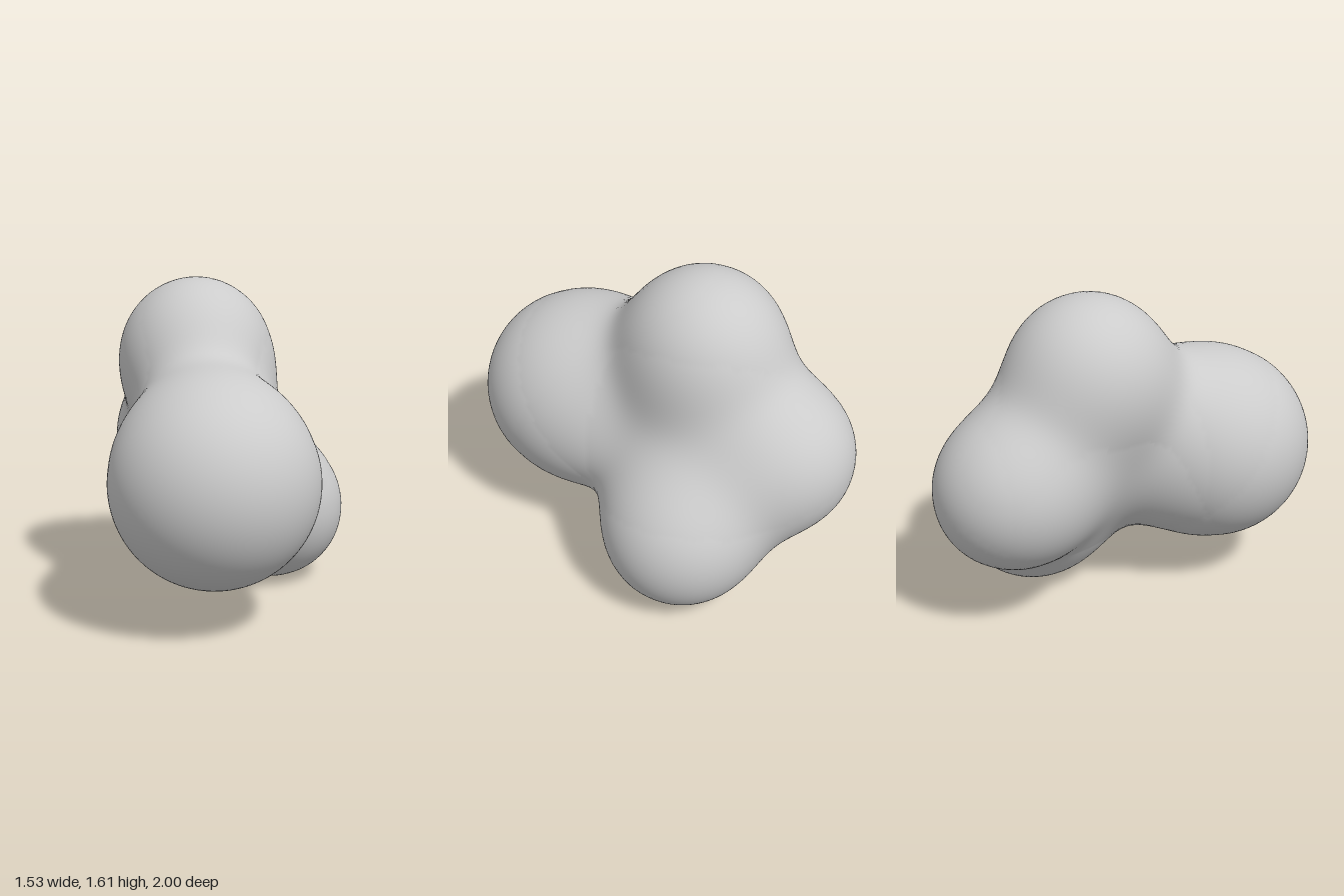
import * as THREE from 'three';

// Four balls that melt together: centre x, y, z and radius
const BALLS = [
  [-0.265, 0.712, 0.5, 0.5],       // large front ball
  [-0.038, 1.253, -0.217, 0.353],  // top ball
  [0.398, 0.373, -0.19, 0.357],    // low side ball
  [0.08, 0.715, -0.64, 0.353],     // back ball
];
const CUTOFF = 0.15; // each ball's pull fades to nothing at about 2.8 radii

// Roughly the distance to the blended skin; negative inside
function field(x, y, z) {
  let sum = 0;
  for (const [bx, by, bz, r] of BALLS) {
    const d2 = (x - bx) ** 2 + (y - by) ** 2 + (z - bz) ** 2 + 1e-6;
    sum += Math.max(0, (1 + CUTOFF) * r * r / d2 - CUTOFF);
  }
  return 0.4 * (Math.sqrt((1 + CUTOFF) / (sum + CUTOFF)) - 1);
}

function gradient(p) {
  const e = 1e-4;
  return new THREE.Vector3(
    field(p.x + e, p.y, p.z) - field(p.x - e, p.y, p.z),
    field(p.x, p.y + e, p.z) - field(p.x, p.y - e, p.z),
    field(p.x, p.y, p.z + e) - field(p.x, p.y, p.z - e)
  ).divideScalar(2 * e);
}

// Mesh the zero level of the field: one vertex per crossed cell, one quad per crossed grid edge
function skinGeometry(step) {
  const min = [-0.95, -0.15, -1.15];
  const n = [1.9, 1.95, 2.3].map((s) => Math.ceil(s / step));
  const stride = [1, n[0], n[0] * n[1]];
  const at = (i, a) => min[a] + i * step;
  const values = new Float32Array(n[0] * n[1] * n[2]);
  for (let k = 0, id = 0; k < n[2]; k++)
    for (let j = 0; j < n[1]; j++)
      for (let i = 0; i < n[0]; i++) values[id++] = field(at(i, 0), at(j, 1), at(k, 2));

  const positions = [], normals = [], indices = [];
  const cells = new Map();

  // Vertex of a cell, pulled from the cell centre onto the skin
  function vertex(id) {
    if (cells.has(id)) return cells.get(id);
    const i = id % n[0], j = Math.floor(id / n[0]) % n[1], k = Math.floor(id / stride[2]);
    const p = new THREE.Vector3(at(i + 0.5, 0), at(j + 0.5, 1), at(k + 0.5, 2));
    for (let t = 0; t < 5; t++) {
      const g = gradient(p);
      p.addScaledVector(g, -field(p.x, p.y, p.z) / g.lengthSq());
    }
    const index = positions.length / 3;
    positions.push(p.x, p.y, p.z);
    normals.push(...gradient(p).normalize().toArray());
    cells.set(id, index);
    return index;
  }

  for (let k = 1; k < n[2] - 1; k++)
    for (let j = 1; j < n[1] - 1; j++)
      for (let i = 1; i < n[0] - 1; i++) {
        const id = i + j * stride[1] + k * stride[2];
        for (let a = 0; a < 3; a++) {
          const inside = values[id] < 0;
          if (inside === values[id + stride[a]] < 0) continue;
          const b = stride[(a + 1) % 3], c = stride[(a + 2) % 3];
          const q = [id, id - b, id - b - c, id - c].map(vertex);
          if (!inside) q.reverse();
          indices.push(q[0], q[1], q[2], q[0], q[2], q[3]);
        }
      }

  const geometry = new THREE.BufferGeometry();
  geometry.setAttribute('position', new THREE.Float32BufferAttribute(positions, 3));
  geometry.setAttribute('normal', new THREE.Float32BufferAttribute(normals, 3));
  geometry.setIndex(indices);
  return geometry;
}

export function createModel() {
  const group = new THREE.Group();
  group.name = 'blendedBalls';

  // Stand the body on the ground, centred
  const geometry = skinGeometry(0.03);
  geometry.computeBoundingBox();
  const box = geometry.boundingBox;
  const c = box.getCenter(new THREE.Vector3());
  geometry.translate(-c.x, -box.min.y, -c.z);

  const body = new THREE.Mesh(geometry, new THREE.MeshStandardMaterial({ color: 0xcccccc }));
  body.name = 'body';
  group.add(body);
  return group;
}
